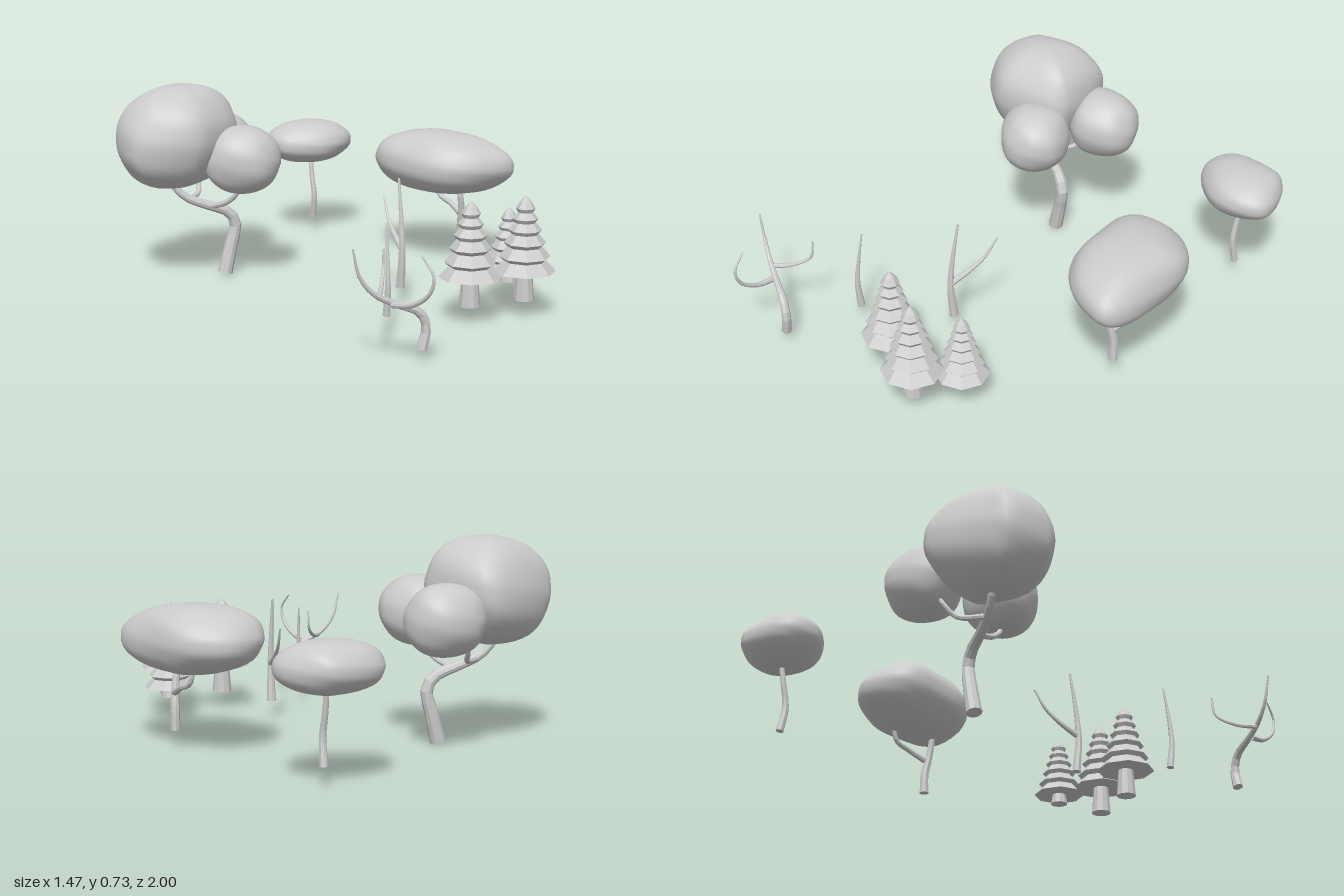
import * as THREE from 'three';
import { mergeVertices } from 'three/addons/utils/BufferGeometryUtils.js';

const smooth = new THREE.MeshStandardMaterial({ color: 0xcccccc });
const faceted = new THREE.MeshStandardMaterial({ color: 0xcccccc, flatShading: true });

function part(name, geometry, material) {
  const mesh = new THREE.Mesh(geometry, material);
  mesh.name = name;
  return mesh;
}

// Tapered limb along a curve, closed at both ends by a collapsed ring
function limb(name, points, r0, r1, sides = 8) {
  const curve = new THREE.CatmullRomCurve3(points.map(p => new THREE.Vector3(...p)));
  const n = 18;
  const g = new THREE.TubeGeometry(curve, n, 1, sides);
  const pos = g.attributes.position;
  const v = new THREE.Vector3();
  for (let i = 0; i <= n; i++) {
    const centre = curve.getPointAt(i / n);
    const t = Math.min(Math.max((i - 1) / (n - 2), 0), 1);
    const target = curve.getPointAt(t);
    const r = i === 0 || i === n ? 0 : r0 + (r1 - r0) * t;
    for (let j = 0; j <= sides; j++) {
      const k = i * (sides + 1) + j;
      v.fromBufferAttribute(pos, k).sub(centre).multiplyScalar(r).add(target);
      pos.setXYZ(k, v.x, v.y, v.z);
    }
  }
  return part(name, g, faceted);
}

// Lumpy crown: a sphere reshaped to a plan outline [x, z] between two heights
function crown(name, outline, bottom, top, tilt = 0) {
  const curve = new THREE.CatmullRomCurve3(outline.map(([x, z]) => new THREE.Vector3(x, 0, z)), true);
  const box = new THREE.Box3().setFromPoints(curve.getPoints(60));
  const c = box.getCenter(new THREE.Vector3());
  const g = new THREE.SphereGeometry(1, 40, 24);
  const pos = g.attributes.position, uv = g.attributes.uv;
  for (let i = 0; i < pos.count; i++) {
    const y = pos.getY(i), u = uv.getX(i) % 1, a = u * Math.PI * 2;
    const edge = curve.getPoint(u).sub(c);
    const ring = Math.max(0, 1 - y * y);
    const lump = 1 + 0.07 * Math.sin(3 * a + 4 * y) * Math.abs(y) * ring;
    const r = Math.pow(ring, 0.43) * lump;
    const h = y * (top - bottom) / 2 * (1 + 0.06 * ring * Math.sin(2 * a + 1));
    pos.setXYZ(i, c.x + edge.x * r, (top + bottom) / 2 + h + tilt * edge.x * r, c.z + edge.z * r);
  }
  g.deleteAttribute('uv');
  g.deleteAttribute('normal');
  const merged = mergeVertices(g, 1e-5);
  merged.computeVertexNormals();
  return part(name, merged, smooth);
}

function group(name, ...children) {
  const g = new THREE.Group();
  g.name = name;
  g.add(...children);
  return g;
}

// Octagonal conifer with stepped tiers
function pine(name, x, z, base, skirt, s) {
  const tiers = [[0, 0.11, 0.074], [0.052, 0.09, 0.06], [0.101, 0.073, 0.048],
    [0.146, 0.058, 0.036], [0.186, 0.045, 0.026], [0.222, 0.034, 0.02]];
  const profile = [new THREE.Vector2(0, 0)];
  tiers.forEach(([y, wide, narrow], i) => {
    const next = i < 5 ? tiers[i + 1][0] : 0.262;
    profile.push(new THREE.Vector2(wide, y));
    profile.push(new THREE.Vector2(narrow, i < 5 ? next - 0.014 : 0.245));
  });
  profile.push(new THREE.Vector2(0, 0.267));
  const needles = part('needles', new THREE.LatheGeometry(profile, 8), faceted);
  needles.scale.setScalar(s);
  needles.position.set(x, skirt, z);
  needles.rotation.y = Math.PI / 8;
  const h = skirt - base + 0.01;
  const trunk = part('pineTrunk', new THREE.CylinderGeometry(0.028 * s, 0.037 * s, h, 10), faceted);
  trunk.position.set(x, base + h / 2, z);
  return group(name, trunk, needles);
}

export function createModel() {
  const model = new THREE.Group();
  model.name = 'treeSet';

  // Large tree: bent trunk, one main crown and two mirrored side crowns
  const side = [[-0.445, -0.53], [-0.4, -0.43], [-0.27, -0.385], [-0.165, -0.49],
    [-0.18, -0.59], [-0.27, -0.648], [-0.39, -0.61]];
  const mirrored = side.map(([x, z]) => [x, -0.75 - z]).reverse();
  model.add(group('largeTree',
    limb('trunk', [[-0.34, 0, -0.345], [-0.315, 0.1, -0.35], [-0.295, 0.19, -0.35], [-0.325, 0.235, -0.35],
      [-0.4, 0.265, -0.35], [-0.49, 0.305, -0.36], [-0.54, 0.37, -0.37], [-0.54, 0.45, -0.37]], 0.028, 0.01, 10),
    limb('frontBranch', [[-0.39, 0.26, -0.35], [-0.345, 0.29, -0.28], [-0.315, 0.34, -0.24], [-0.3, 0.42, -0.24]], 0.012, 0.007),
    limb('rearBranch', [[-0.47, 0.29, -0.36], [-0.41, 0.3, -0.44], [-0.395, 0.35, -0.49], [-0.35, 0.43, -0.51]], 0.011, 0.007),
    crown('mainCrown', [[-0.735, -0.39], [-0.72, -0.26], [-0.68, -0.21], [-0.5, -0.155], [-0.39, -0.215],
      [-0.295, -0.31], [-0.29, -0.37], [-0.405, -0.56], [-0.49, -0.577], [-0.69, -0.45]], 0.345, 0.725, 0.06),
    crown('rearCrown', side, 0.33, 0.58),
    crown('frontCrown', mirrored, 0.33, 0.58)));

  // Broad tree with a wide flat crown
  model.add(group('broadTree',
    limb('trunk', [[0.56, 0.055, -0.17], [0.56, 0.13, -0.17], [0.555, 0.21, -0.155], [0.545, 0.28, -0.15], [0.53, 0.38, -0.18]], 0.018, 0.009),
    limb('branch', [[0.56, 0.185, -0.165], [0.55, 0.215, -0.24], [0.53, 0.24, -0.3], [0.51, 0.36, -0.32]], 0.012, 0.007),
    crown('crown', [[0.28, -0.32], [0.315, -0.22], [0.41, -0.07], [0.55, -0.01], [0.715, -0.04], [0.73, -0.105],
      [0.675, -0.265], [0.61, -0.4], [0.54, -0.455], [0.41, -0.477], [0.3, -0.4]], 0.265, 0.505, -0.04)));

  // Small flat-topped tree
  model.add(group('smallTree',
    limb('trunk', [[0.205, 0.055, -0.845], [0.205, 0.15, -0.83], [0.2, 0.24, -0.845], [0.2, 0.36, -0.865]], 0.014, 0.008),
    crown('crown', [[0.015, -0.84], [0.05, -0.765], [0.21, -0.715], [0.325, -0.765], [0.37, -0.85],
      [0.305, -0.955], [0.23, -1], [0.165, -0.995], [0.03, -0.915]], 0.29, 0.463)));

  // Conifers
  model.add(
    pine('leftFrontPine', 0.463, 0.535, 0.05, 0.153, 1),
    pine('rightFrontPine', 0.255, 0.535, 0.05, 0.153, 1),
    pine('rearPine', 0.49, 0.365, 0.07, 0.107, 0.87));

  // Bare trees
  model.add(group('bentBareTree',
    limb('trunk', [[-0.06, 0.025, 0.835], [-0.045, 0.1, 0.835], [-0.07, 0.15, 0.835], [-0.15, 0.185, 0.835],
      [-0.225, 0.225, 0.835], [-0.275, 0.285, 0.835], [-0.3, 0.38, 0.84]], 0.019, 0.003),
    limb('frontBranch', [[-0.165, 0.185, 0.84], [-0.13, 0.2, 0.91], [-0.1, 0.25, 0.975], [-0.093, 0.31, 0.99], [-0.115, 0.367, 0.95]], 0.011, 0.003),
    limb('rearBranch', [[-0.21, 0.21, 0.835], [-0.175, 0.22, 0.77], [-0.14, 0.26, 0.705], [-0.135, 0.33, 0.695]], 0.01, 0.003)));
  model.add(group('straightBareTree',
    limb('trunk', [[-0.06, 0.055, 0.55], [-0.06, 0.16, 0.56], [-0.058, 0.27, 0.55], [-0.056, 0.37, 0.535]], 0.014, 0.003)));
  model.add(group('forkedBareTree',
    limb('trunk', [[0.12, 0.055, 0.257], [0.12, 0.19, 0.268], [0.12, 0.31, 0.257], [0.12, 0.447, 0.235]], 0.017, 0.004),
    limb('branch', [[0.12, 0.2, 0.262], [0.12, 0.24, 0.19], [0.122, 0.285, 0.135], [0.125, 0.355, 0.09]], 0.012, 0.003)));

  return model;
}
